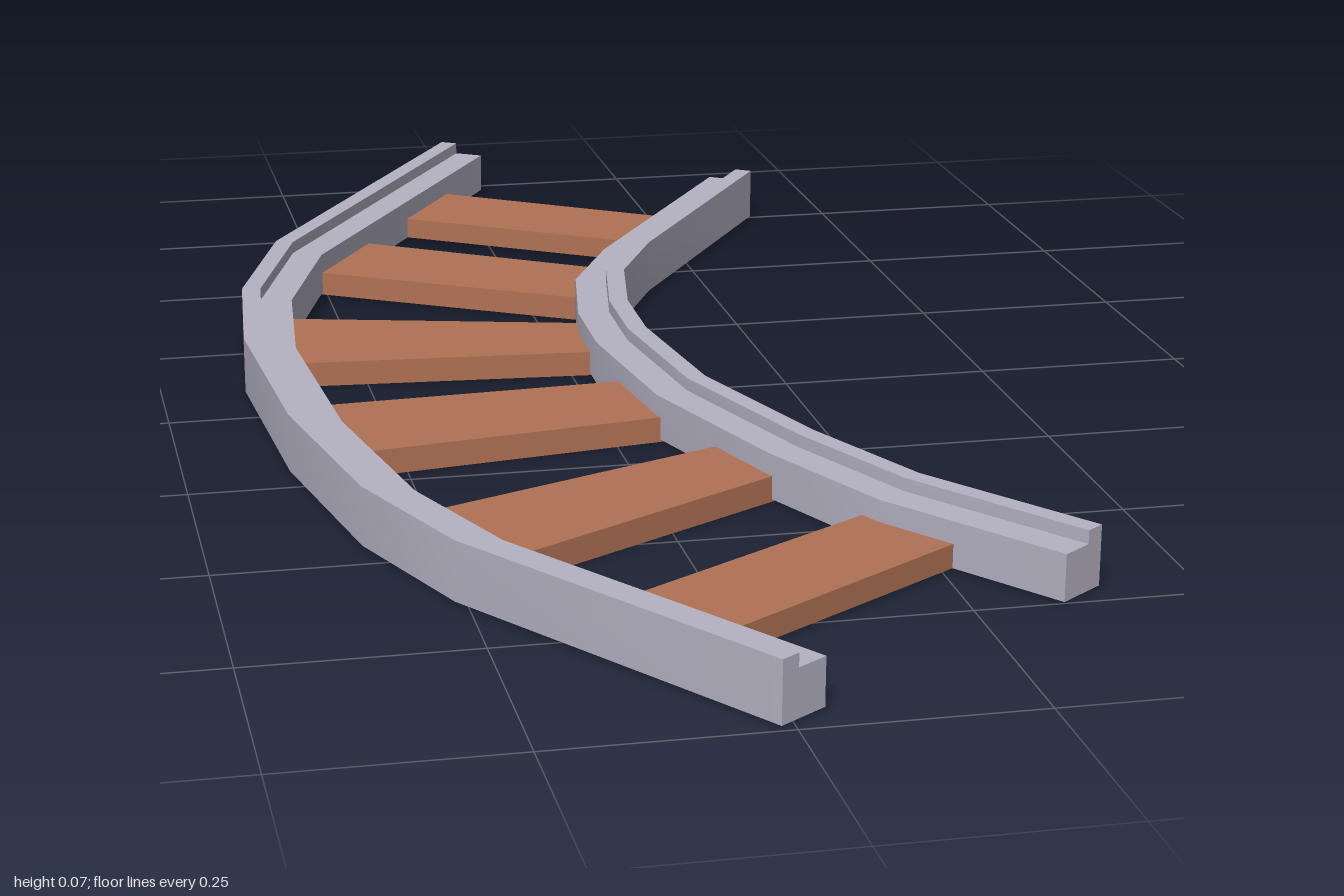
import * as THREE from 'three';
import { toCreasedNormals } from 'three/addons/utils/BufferGeometryUtils.js';

// Rail cross-section (across, up), counter-clockwise, raised lip on the +x side
const PROFILE = [[-0.031, 0.003], [0.031, 0.003], [0.031, 0.07], [0.008, 0.07], [0.008, 0.055], [-0.031, 0.055]];

// Sweep a cross-section along a flat path of (x, z) points with mitred bends
function sweep(path, profile) {
  const pts = path.map(([x, z]) => new THREE.Vector2(x, z));
  const rings = pts.map((p, i) => {
    const a = p.clone().sub(pts[i - 1] ?? p).normalize();
    const b = (pts[i + 1] ?? p).clone().sub(p).normalize();
    const t = a.clone().add(b).normalize();
    const miter = 1 / Math.max(t.dot(a), t.dot(b));
    return profile.map(([u, y]) => [p.x + t.y * u * miter, y, p.y - t.x * u * miter]);
  });
  const pos = [];
  const tri = (a, b, c) => pos.push(...a, ...b, ...c);
  const n = profile.length;
  for (let i = 0; i < rings.length - 1; i++) {
    const r = rings[i], s = rings[i + 1];
    for (let j = 0; j < n; j++) {
      const k = (j + 1) % n;
      tri(r[j], r[k], s[k]);
      tri(r[j], s[k], s[j]);
    }
  }
  // End caps
  const first = rings[0], last = rings[rings.length - 1];
  const faces = THREE.ShapeUtils.triangulateShape(profile.map(([x, y]) => new THREE.Vector2(x, y)), []);
  for (const [a, b, c] of faces) {
    tri(last[a], last[b], last[c]);
    tri(first[a], first[c], first[b]);
  }
  const geo = new THREE.BufferGeometry();
  geo.setAttribute('position', new THREE.Float32BufferAttribute(pos, 3));
  return toCreasedNormals(geo, 0.45);
}

export function createModel() {
  const group = new THREE.Group();
  const steel = new THREE.MeshStandardMaterial({ name: 'rail grey', color: 0xb5b2c3 });
  const wood = new THREE.MeshStandardMaterial({ name: 'wood brown', color: 0xb07254 });

  const add = (name, geo, mat) => {
    const mesh = new THREE.Mesh(geo, mat);
    mesh.name = name;
    group.add(mesh);
  };

  // Rails, with lips on the sides away from the sleepers
  const mirrored = PROFILE.map(([u, y]) => [-u, y]).reverse();
  add('outerRail', sweep([
    [0.013, -0.983], [-0.285, -0.5], [-0.35, -0.295], [-0.369, -0.09],
    [-0.35, 0.2], [-0.303, 0.445], [-0.235, 0.615], [0.011, 0.978],
  ], mirrored), steel);
  add('innerRail', sweep([
    [0.366, -0.763], [0.142, -0.425], [0.08, -0.3], [0.055, -0.16], [0.053, -0.04],
    [0.08, 0.165], [0.155, 0.383], [0.23, 0.545], [0.37, 0.735],
  ], PROFILE), steel);

  // Sleepers: corners (x, z) as outer, inner, inner, outer
  const sleepers = [
    [[-0.025, -0.85], [0.267, -0.66], [0.193, -0.545], [-0.11, -0.735]],
    [[-0.18, -0.62], [0.12, -0.43], [0.06, -0.305], [-0.25, -0.485]],
    [[-0.32, -0.29], [0.035, -0.2], [0.025, -0.08], [-0.335, -0.105]],
    [[-0.33, 0.06], [0.03, 0.04], [0.055, 0.18], [-0.32, 0.235]],
    [[-0.27, 0.44], [0.095, 0.29], [0.13, 0.4], [-0.2, 0.59]],
    [[-0.115, 0.725], [0.205, 0.53], [0.262, 0.64], [-0.04, 0.835]],
  ];
  sleepers.forEach((corners, i) => {
    const [a, b, c, d] = corners.map(([x, z]) => new THREE.Vector2(x, -z));
    // Lengthen slightly so the ends seat inside the rails
    const out = (p, q) => p.clone().add(p.clone().sub(q).setLength(0.01));
    const shape = new THREE.Shape([out(a, b), out(b, a), out(c, d), out(d, c)]);
    const bottom = i === 0 || i === 5 ? 0.003 : 0;
    const geo = new THREE.ExtrudeGeometry(shape, { depth: 0.03 - bottom, bevelEnabled: false });
    geo.rotateX(-Math.PI / 2).translate(0, bottom, 0);
    add(`sleeper${i + 1}`, geo, wood);
  });

  return group;
}
